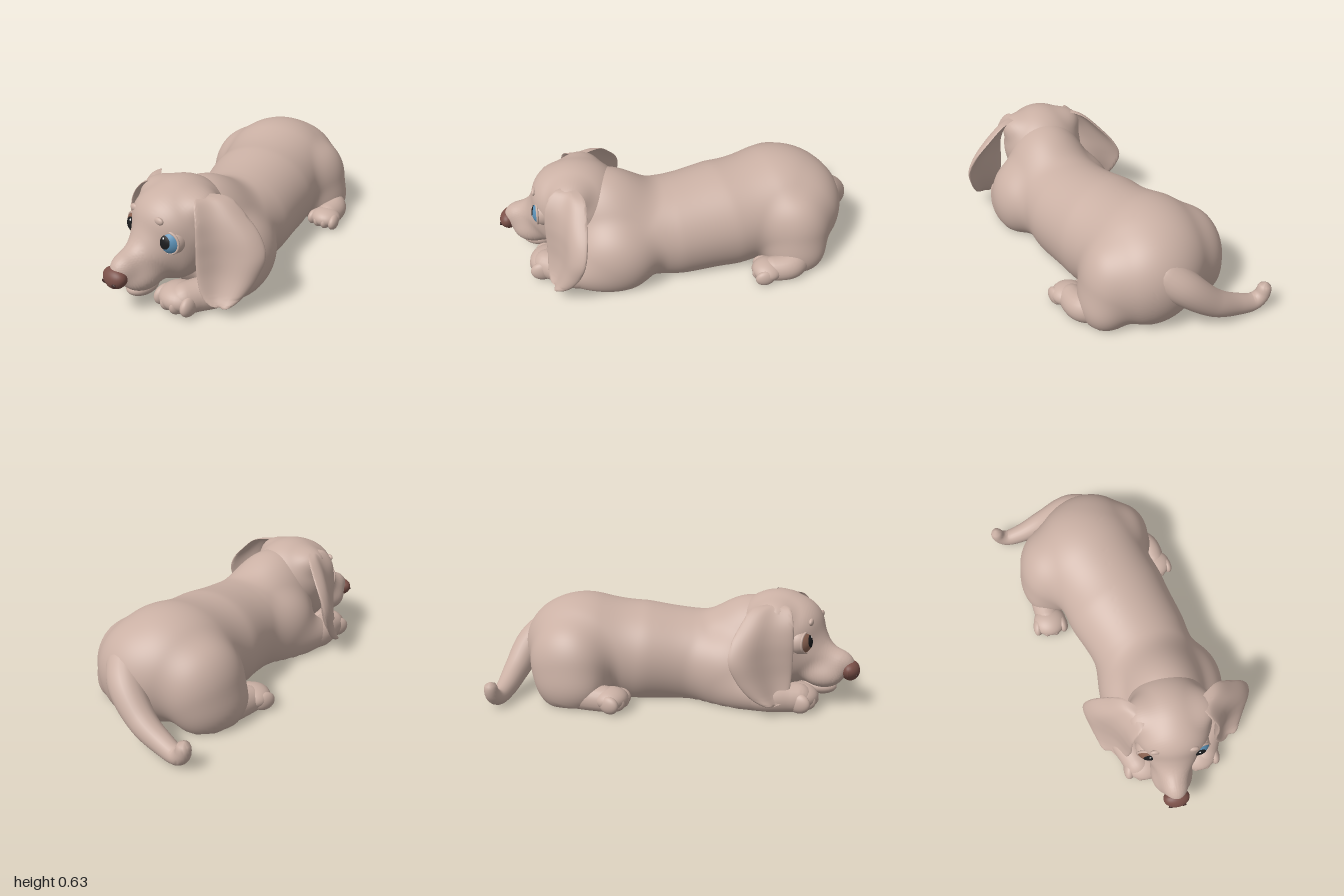
import * as THREE from 'three';
import { mergeVertices, toCreasedNormals } from 'three/addons/utils/BufferGeometryUtils.js';
import { ParametricGeometry } from 'three/addons/geometries/ParametricGeometry.js';

const V = (x, y, z) => new THREE.Vector3(x, y, z);
const mat = (name, color) => Object.assign(new THREE.MeshStandardMaterial({ color }), { name });

// Closed smooth surface from a rule; the winding is turned outward, the underside is cut at the floor
function solid(rule, nu, nv) {
  let g = new ParametricGeometry((u, v, out) => { rule(u, v, out); out.y = Math.max(out.y, 0); }, nu, nv);
  g.deleteAttribute('uv');
  g.deleteAttribute('normal');
  g = mergeVertices(g);
  const p = g.attributes.position, ix = g.index.array, at = i => V().fromBufferAttribute(p, i);
  let volume = 0;
  for (let i = 0; i < ix.length; i += 3) volume += at(ix[i]).dot(at(ix[i + 1]).cross(at(ix[i + 2])));
  if (volume < 0) for (let i = 0; i < ix.length; i += 3) [ix[i], ix[i + 1]] = [ix[i + 1], ix[i]];
  return toCreasedNormals(g, 1.1);
}

// Distance to a soft blend of ellipsoids [cx, cy, cz, rx, ry, rz]; sag widens their lower halves
function blend(blobs, k, sag) {
  return p => blobs.reduce((d, [cx, cy, cz, rx, ry, rz]) => {
    const x = (p.x - cx) / rx, z = (p.z - cz) / rz;
    const y = (p.y - cy) / ry * (p.y < cy ? sag : 1);
    const k0 = Math.hypot(x, y, z), k1 = Math.hypot(x / rx, y / ry, z / rz) + 1e-6;
    const e = k0 * (k0 - 1) / k1, h = Math.max(k - Math.abs(d - e), 0) / k;
    return Math.min(d, e) - h * h * k / 4;
  }, 10);
}

// Walk inward toward o along direction d until the blended surface is met
function hit(dist, o, d, out) {
  let t = 1.1;
  for (let i = 0; i < 70; i++) {
    out.copy(o).addScaledVector(d, t);
    const s = dist(out);
    if (Math.abs(s) < 1e-4) break;
    t = Math.max(t - s * 0.8, 0.01);
  }
  return out;
}

// Skin cast from a straight spine (front to back) with rounded ends
function sculpt(front, back, dist, nu, nv) {
  const o = V(), d = V();
  return solid((u, v, out) => {
    const s = THREE.MathUtils.clamp((u - 0.25) * 2, 0, 1);
    const th = (Math.min(u, 0.25) + Math.max(u - 0.75, 0)) * 2 * Math.PI;
    d.set(Math.sin(th) * Math.cos(v * 2 * Math.PI), Math.sin(th) * Math.sin(v * 2 * Math.PI), Math.cos(th));
    hit(dist, o.lerpVectors(front, back, s), d, out);
  }, nu, nv);
}

// Tapering limb with rounded ends
function limb(points, r0, r1) {
  const n = 48, curve = new THREE.CatmullRomCurve3(points.map(p => V(...p)));
  const { normals, binormals } = curve.computeFrenetFrames(n);
  const len = curve.getLength();
  return solid((u, v, out) => {
    const i = Math.round(u * n), t = i / n, r = THREE.MathUtils.lerp(r0, r1, t);
    const end = Math.min(1, Math.min(t, 1 - t) * len / r);
    const rad = r * Math.sqrt(1 - (1 - end) ** 2);
    out.copy(curve.getPointAt(t))
      .addScaledVector(normals[i], rad * Math.cos(v * 2 * Math.PI))
      .addScaledVector(binormals[i], rad * Math.sin(v * 2 * Math.PI));
  }, n, 24);
}

export function createModel() {
  const root = new THREE.Group();
  root.name = 'lyingPuppy';
  const fur = mat('fur', 0xcab0a4), noseBrown = mat('noseBrown', 0x7a5048), dark = mat('black', 0x1b1b1d);
  const blue = mat('blueIris', 0x5b90b5), brown = mat('brownIris', 0x87604f), nostrilBrown = mat('nostrilBrown', 0x422a27);
  const white = mat('white', 0xf2f2f2);
  const add = (name, geo, m = fur, parent = root) => {
    const mesh = new THREE.Mesh(geo, m);
    mesh.name = name;
    parent.add(mesh);
    return mesh;
  };
  const ball = (name, c, r, m = fur, parent = root) => {
    const b = add(name, new THREE.SphereGeometry(1, 28, 20), m, parent);
    b.position.set(...c);
    b.scale.set(...r);
    return b;
  };

  // Body: hips, rump, loin, waist, chest, neck, shoulders, elbows and thighs
  const body = blend([
    [-0.085, 0.265, -0.58, 0.33, 0.305, 0.36], [-0.03, 0.23, -0.77, 0.215, 0.225, 0.175],
    [0.025, 0.225, -0.28, 0.31, 0.295, 0.36], [0.12, 0.2, 0, 0.29, 0.277, 0.36],
    [0.19, 0.21, 0.28, 0.28, 0.265, 0.32], [0.19, 0.34, 0.37, 0.215, 0.24, 0.26],
    [0.42, 0.16, 0.3, 0.132, 0.19, 0.21], [-0.03, 0.16, 0.28, 0.132, 0.19, 0.19],
    [0.44, 0.08, 0.46, 0.09, 0.09, 0.17], [-0.07, 0.08, 0.46, 0.09, 0.09, 0.17],
    [-0.365, 0.2, -0.56, 0.15, 0.23, 0.22], [0.175, 0.19, -0.7, 0.125, 0.22, 0.165],
    [-0.39, 0.09, -0.52, 0.115, 0.11, 0.17], [0.2, 0.08, -0.71, 0.1, 0.1, 0.14],
  ], 0.09, 0.92);
  add('body', sculpt(V(0.19, 0.17, 0.42), V(-0.07, 0.2, -0.62), body, 128, 112));
  add('tail', limb([[-0.02, 0.36, -0.8], [-0.16, 0.26, -0.91], [-0.33, 0.13, -0.93], [-0.48, 0.065, -0.91],
    [-0.58, 0.05, -0.9], [-0.625, 0.085, -0.9], [-0.64, 0.16, -0.9]], 0.115, 0.034));

  // Legs and paws
  add('leftForeleg', limb([[0.42, 0.09, 0.35], [0.44, 0.075, 0.52], [0.39, 0.07, 0.64], [0.345, 0.07, 0.77]], 0.1, 0.08));
  add('rightForeleg', limb([[-0.04, 0.09, 0.35], [-0.07, 0.075, 0.52], [-0.03, 0.07, 0.64], [0.015, 0.07, 0.77]], 0.1, 0.08));
  add('leftHindLeg', limb([[0.16, 0.08, -0.73], [0.29, 0.06, -0.68], [0.33, 0.05, -0.51]], 0.09, 0.065));
  add('rightHindLeg', limb([[-0.39, 0.09, -0.56], [-0.4, 0.06, -0.44], [-0.39, 0.05, -0.23]], 0.1, 0.07));
  function paw(name, x, z, yaw, size) {
    const g = new THREE.Group();
    g.name = name;
    g.position.set(x, 0, z);
    g.rotation.y = yaw;
    g.scale.setScalar(size);
    root.add(g);
    ball('pad', [0, 0.066, 0], [0.104, 0.066, 0.1], fur, g);
    for (let i = 0; i < 4; i++) {
      const s = i - 1.5;
      ball('toe', [s * 0.051, 0.054, 0.04 - Math.abs(s) * 0.014], [0.034, 0.054, 0.066], fur, g).rotation.y = s * 0.12;
    }
  }
  paw('leftFrontPaw', 0.34, 0.69, 0.05, 1.08);
  paw('rightFrontPaw', 0.02, 0.69, -0.05, 1.08);
  paw('leftHindPaw', 0.33, -0.545, 0.1, 0.86);
  paw('rightHindPaw', -0.39, -0.275, 0, 0.95);

  // Head: skull, forehead, cheeks, muzzle, lips and ear roots
  const head = blend([
    [0.185, 0.385, 0.52, 0.235, 0.243, 0.26], [0.178, 0.45, 0.65, 0.16, 0.11, 0.108],
    [0.18, 0.26, 0.59, 0.185, 0.17, 0.16],
    [0.17, 0.29, 0.71, 0.125, 0.13, 0.13], [0.155, 0.245, 0.84, 0.08, 0.085, 0.125],
    [0.11, 0.175, 0.8, 0.07, 0.065, 0.1], [0.2, 0.175, 0.8, 0.07, 0.065, 0.1],
    [0.03, 0.52, 0.53, 0.08, 0.065, 0.09], [0.34, 0.52, 0.53, 0.08, 0.065, 0.09],
  ], 0.06, 1);
  add('head', sculpt(V(0.16, 0.23, 0.82), V(0.185, 0.38, 0.5), head, 110, 84));
  ball('lowerJaw', [0.158, 0.1, 0.78], [0.07, 0.047, 0.095]);

  // Nose, wider at the top
  const noseGeo = new THREE.SphereGeometry(1, 32, 24), np = noseGeo.attributes.position;
  for (let i = 0; i < np.count; i++) np.setX(i, np.getX(i) * (1 + 0.2 * np.getY(i)));
  noseGeo.computeVertexNormals();
  const nose = add('nose', noseGeo, noseBrown);
  nose.position.set(0.152, 0.21, 0.946);
  nose.scale.set(0.072, 0.056, 0.052);
  for (const s of [-1, 1]) ball('nostril', [0.152 + s * 0.036, 0.197, 0.988], [0.015, 0.01, 0.007], nostrilBrown);

  // Eyes with lids, and brow bumps, set onto the face
  const onFace = (x, y) => hit(head, V(x, y, 0.3), V(0, 0, 1), V()).z;
  for (const s of [-1, 1]) {
    const x = 0.172 + s * 0.14, eye = new THREE.Group();
    eye.name = s > 0 ? 'leftEye' : 'rightEye';
    eye.position.set(x - s * 0.012, 0.38, onFace(x, 0.38) - 0.055);
    eye.rotation.set(-0.05, s * 0.28, 0);
    root.add(eye);
    const cap = (name, r, angle, m) =>
      add(name, new THREE.SphereGeometry(r, 32, 12, 0, Math.PI * 2, 0, angle).rotateX(Math.PI / 2), m, eye);
    cap('eyeball', 0.074, Math.PI, fur);
    cap('iris', 0.076, 0.8, s > 0 ? blue : brown);
    cap('pupil', 0.078, 0.48, dark).rotation.set(-0.12, -s * 0.18, 0);
    cap('glint', 0.0795, 0.07, white).rotation.set(-0.4, -s * 0.18, 0);
    const lid = add('eyelid', new THREE.TorusGeometry(0.058, 0.007, 12, 40), fur, eye);
    lid.position.z = 0.048;
    const bx = 0.165 + s * 0.1;
    ball('brow', [bx, 0.49, onFace(bx, 0.49) - 0.005], [0.03, 0.02, 0.014]);
  }

  // Hanging ears: a thick curled sheet between an inner and an outer edge
  const inner = [[0.15, 0.585, 0.55], [0.185, 0.57, 0.61], [0.225, 0.5, 0.645], [0.237, 0.4, 0.655], [0.237, 0.3, 0.655],
    [0.245, 0.2, 0.655], [0.275, 0.11, 0.655], [0.32, 0.065, 0.64], [0.36, 0.055, 0.61]];
  const outer = [[0.15, 0.585, 0.51], [0.255, 0.57, 0.43], [0.345, 0.495, 0.405], [0.435, 0.4, 0.395], [0.475, 0.31, 0.405],
    [0.46, 0.2, 0.45], [0.43, 0.11, 0.515], [0.4, 0.065, 0.58], [0.36, 0.055, 0.61]];
  const edge = pts => new THREE.CatmullRomCurve3(pts.map(p => V(...p)));
  const innerEdge = edge(inner), outerEdge = edge(outer);
  for (const s of [-1, 1]) {
    const spread = s > 0 ? 1 : 0.95, a = V(), b = V();
    add(s > 0 ? 'leftEar' : 'rightEar', solid((u, v, out) => {
      innerEdge.getPoint(u, a);
      outerEdge.getPoint(u, b);
      const w = 0.5 - 0.5 * Math.cos(v * 2 * Math.PI), taper = Math.sqrt(Math.sin(Math.PI * Math.min(Math.max(u, 0), 1)) + 1e-9);
      out.lerpVectors(a, b, w);
      const off = (0.03 * Math.sin(v * 2 * Math.PI) - 0.022 * Math.sin(w * 2 * Math.PI - 0.6)) * taper;
      out.x += off * 0.65;
      out.z += off * 0.75 - (s < 0 ? (out.x - 0.24) * 0.2 : 0);
      out.x = 0.185 + s * out.x * spread;
    }, 48, 36));
  }
  return root;
}
